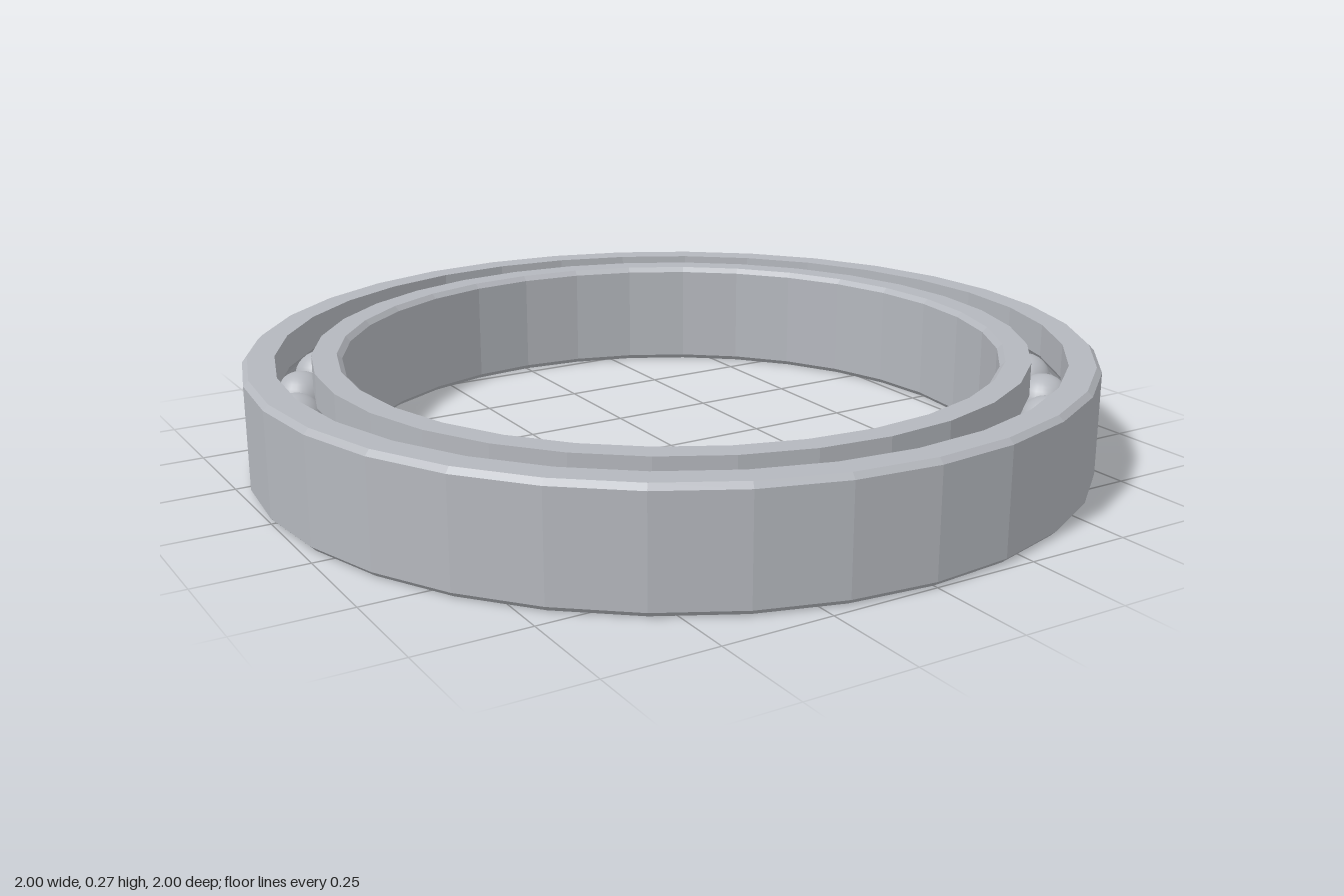
import * as THREE from 'three';

const HEIGHT = 0.266, MID = HEIGHT / 2, CHAMFER = 0.012;
const PITCH = 0.884, BALL_RADIUS = 0.064, GROOVE = 0.068, BALLS = 31;

// Spin a closed counter-clockwise (radius, height) outline into a faceted ring
function ring(outline, material, name) {
  const points = [...outline, outline[0]].map(([r, y]) => new THREE.Vector2(r, y));
  const geometry = new THREE.LatheGeometry(points, 32).toNonIndexed();
  geometry.computeVertexNormals();
  const mesh = new THREE.Mesh(geometry, material);
  mesh.name = name;
  return mesh;
}

// Arc of the ball track cut into a race wall; side is +1 for the outer race, -1 for the inner
function groove(wall, side) {
  const half = Math.acos(Math.abs(wall - PITCH) / GROOVE);
  return Array.from({ length: 9 }, (_, i) => {
    const a = half * (1 - i / 4);
    return [PITCH + side * GROOVE * Math.cos(a), MID + side * GROOVE * Math.sin(a)];
  });
}

export function createModel() {
  const model = new THREE.Group();
  model.name = 'ballBearing';
  const steel = new THREE.MeshStandardMaterial({ color: 0xb4b7bd });
  steel.name = 'steel';

  // Outer race, chamfered on its outside edges
  const R = 1, outerWall = 0.926;
  model.add(ring([
    [outerWall, 0], [R - CHAMFER, 0], [R, CHAMFER],
    [R, HEIGHT - CHAMFER], [R - CHAMFER, HEIGHT], [outerWall, HEIGHT],
    ...groove(outerWall, 1),
  ], steel, 'outerRace'));

  // Inner race, chamfered on its bore edges
  const bore = 0.773, innerWall = 0.843;
  model.add(ring([
    [bore + CHAMFER, 0], [innerWall, 0],
    ...groove(innerWall, -1),
    [innerWall, HEIGHT], [bore + CHAMFER, HEIGHT],
    [bore, HEIGHT - CHAMFER], [bore, CHAMFER],
  ], steel, 'innerRace'));

  // Balls spaced evenly around the track
  const balls = new THREE.Group();
  balls.name = 'balls';
  const ballGeometry = new THREE.SphereGeometry(BALL_RADIUS, 24, 16);
  for (let i = 0; i < BALLS; i++) {
    const a = (i / BALLS) * Math.PI * 2;
    const ball = new THREE.Mesh(ballGeometry, steel);
    ball.name = 'ball';
    ball.position.set(PITCH * Math.cos(a), MID, PITCH * Math.sin(a));
    balls.add(ball);
  }
  model.add(balls);
  return model;
}
